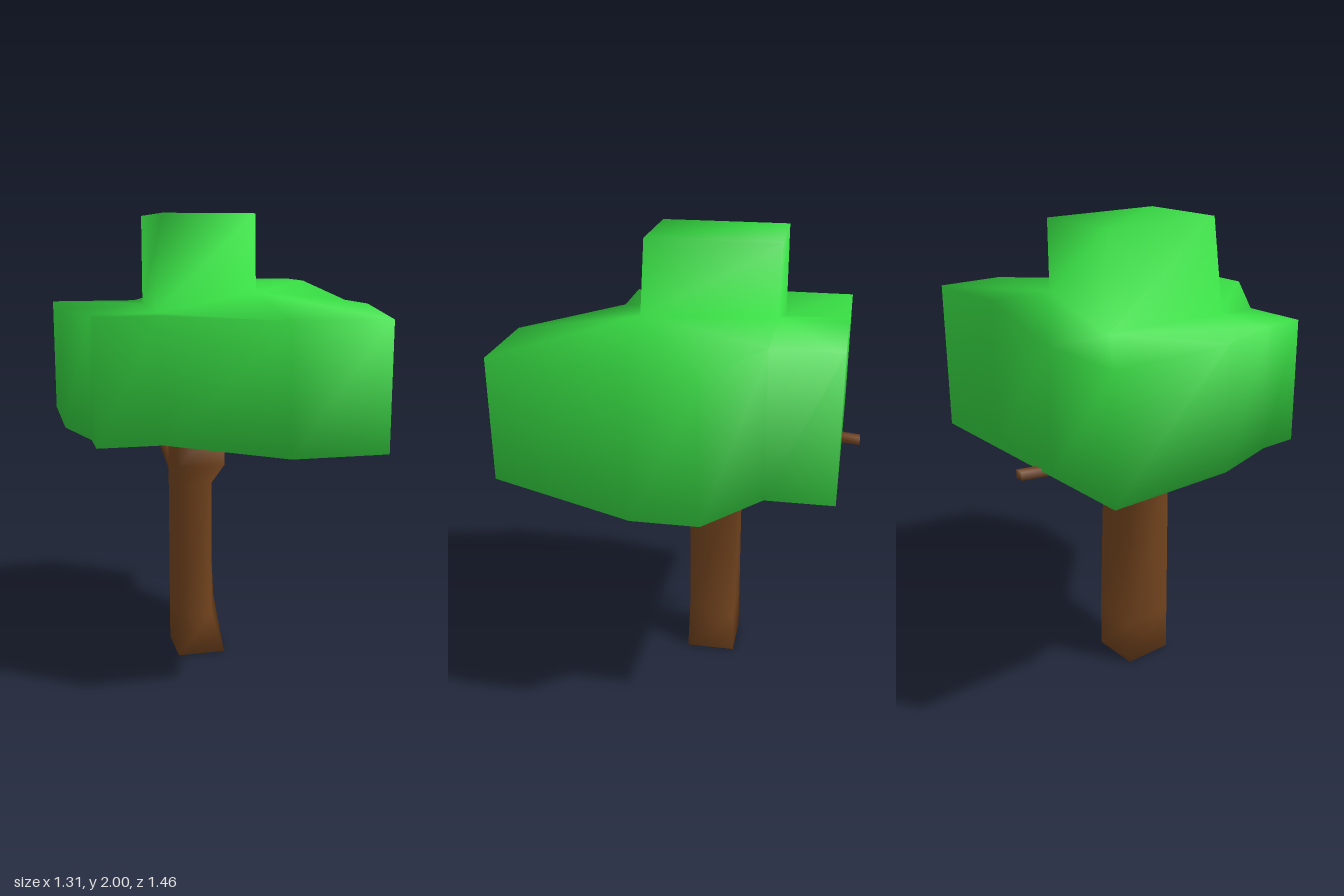
import * as THREE from 'three';

const leafMaterial = new THREE.MeshStandardMaterial({ color: 0x38dd44 });
const barkMaterial = new THREE.MeshStandardMaterial({ color: 0x73441e });

// Smooth indexed mesh from shared points [x, y, z] and triangles
function smoothMesh(name, points, triangles, material) {
  const geometry = new THREE.BufferGeometry();
  geometry.setAttribute('position', new THREE.Float32BufferAttribute(points.flat(), 3));
  geometry.setIndex(triangles.flat());
  geometry.computeVertexNormals();
  const mesh = new THREE.Mesh(geometry, material);
  mesh.name = name;
  return mesh;
}

// Wall between two rings of equal length, given by their first indices
function wall(triangles, low, high, count) {
  for (let i = 0; i < count; i++) {
    const j = (i + 1) % count;
    triangles.push([low + i, high + i, low + j], [low + j, high + i, high + j]);
  }
}

// Closed four-sided tube through a list of cross-sections
function loft(name, sections, material) {
  const triangles = [[0, 1, 2], [0, 2, 3]];
  for (let s = 0; s < sections.length - 1; s++) wall(triangles, s * 4, s * 4 + 4, 4);
  const e = (sections.length - 1) * 4;
  triangles.push([e, e + 3, e + 2], [e, e + 2, e + 1]);
  return smoothMesh(name, sections.flat(), triangles, material);
}

function createFoliage() {
  // Crown outline: x, z, top height, and the upper block corner it joins
  const outline = [
    [-0.655, -0.65, 1.6, 0], [-0.26, -0.65, 1.6, 0], [0.13, -0.65, 1.7, 1],
    [0.525, -0.65, 1.7, 1], [0.525, -0.37, 1.7, 1], [0.655, -0.14, 1.62, 2],
    [0.655, 0.14, 1.62, 2], [0.525, 0.73, 1.6, 2], [0.13, 0.73, 1.6, 2],
    [-0.3, 0.37, 1.6, 3], [-0.57, 0.37, 1.6, 3], [-0.57, 0.2, 1.6, 3],
    [-0.655, -0.1, 1.6, 0],
  ];
  const n = outline.length;
  const blockBase = [[-0.26, 1.6, -0.37], [0.13, 1.7, -0.37], [0.13, 1.68, 0.2], [-0.3, 1.6, 0.2]];
  const blockTop = [[-0.26, 2, -0.37], [0.13, 2, -0.37], [0.13, 2, 0.18], [-0.26, 2, 0.18]];
  const points = [
    ...outline.map(([x, z]) => [x, x > 0.6 ? 1.01 : 1.08, z]),
    ...outline.map(([x, z, y]) => [x, y, z]),
    ...blockBase, ...blockTop,
    [0.3, 1.08, 0],
  ];
  const base = 2 * n, top = base + 4, hub = top + 4;
  const triangles = [];

  // Crown sides, upper block sides and its lid
  wall(triangles, 0, n, n);
  wall(triangles, base, top, 4);
  triangles.push([top, top + 3, top + 2], [top, top + 2, top + 1]);

  // Shoulder between crown and block, and the underside
  for (let i = 0; i < n; i++) {
    const j = (i + 1) % n;
    const a = base + outline[i][3], b = base + outline[j][3];
    triangles.push([n + i, b, n + j]);
    if (a !== b) triangles.push([n + i, a, b]);
    triangles.push([hub, i, j]);
  }
  return smoothMesh('foliage', points, triangles, leafMaterial);
}

export function createModel() {
  const model = new THREE.Group();
  model.name = 'tree';
  model.add(createFoliage());

  // Trunk with a pinched side: height, right-hand x at back and front
  const trunk = [[0, 0.04, 0.04], [0.2, 0.04, -0.02], [0.82, 0.01, -0.02], [0.9, 0.04, 0.04], [1.12, 0.04, 0.04]];
  model.add(loft('trunk', trunk.map(([y, back, front]) => [
    [-0.175, y, -0.2], [back, y, -0.2], [front, y, 0.02], [-0.175, y, 0.02],
  ]), barkMaterial));

  // Branch reaching backwards: z, x range, y range
  const branch = [
    [-0.17, -0.15, 0, 0.79, 0.9], [-0.27, -0.15, 0, 0.79, 0.9],
    [-0.57, -0.21, -0.17, 1.055, 1.09], [-0.73, -0.17, -0.13, 1.055, 1.09],
  ];
  model.add(loft('branch', branch.map(([z, x0, x1, y0, y1]) => [
    [x0, y0, z], [x1, y0, z], [x1, y1, z], [x0, y1, z],
  ]), barkMaterial));
  return model;
}
